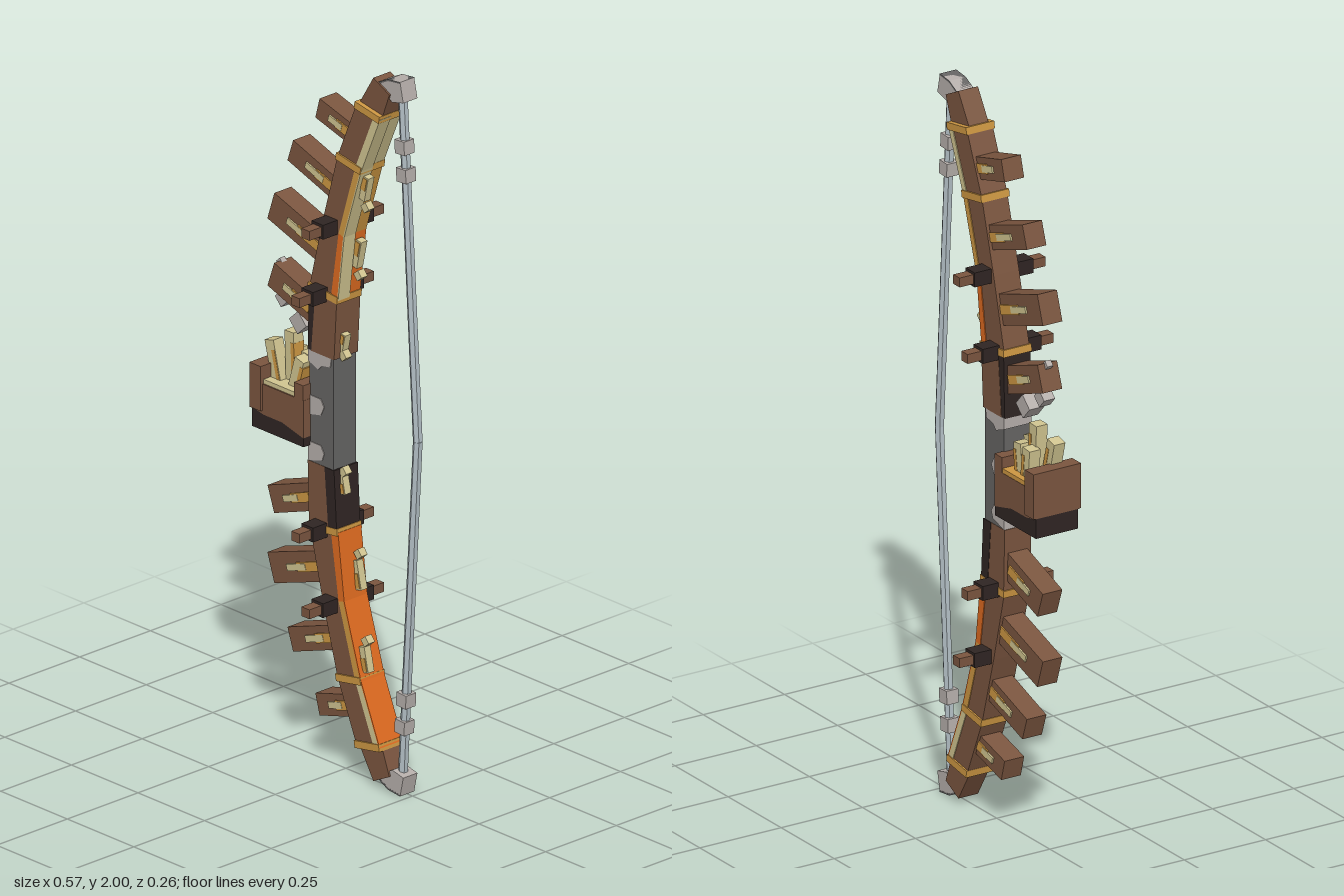
import * as THREE from 'three';

const mat = (name, color, side = THREE.FrontSide) => {
  const m = new THREE.MeshStandardMaterial({ color, side });
  m.name = name;
  return m;
};

export function createModel() {
  const root = new THREE.Group();
  root.name = 'bow';
  const wood = mat('brown wood', 0x7a553f);
  const dark = mat('dark wood', 0x2f2523);
  const gold = mat('gold', 0xcc9642);
  const bone = mat('pale bone', 0xd0c490);
  const orange = mat('orange', 0xdd6a20);
  const iron = mat('dark iron', 0x656463);
  const stone = mat('light stone', 0xb5aeaa);
  const cord = mat('cord', 0xb2bec4);

  const add = (name, geo, m, x = 0, y = 0, z = 0, rz = 0) => {
    const mesh = new THREE.Mesh(geo, m);
    mesh.name = name;
    mesh.position.set(x, y, z);
    mesh.rotation.z = rz;
    root.add(mesh);
    return mesh;
  };
  const box = (name, m, w, h, d, x, y, z = 0, rz = 0) =>
    add(name, new THREE.BoxGeometry(w, h, d), m, x, y, z, rz);
  // Flat outline extruded between two depths
  const slab = (name, m, pts, z0, z1) => {
    const s = new THREE.Shape(pts.map(p => new THREE.Vector2(p[0], p[1])));
    return add(name, new THREE.ExtrudeGeometry(s, { depth: z1 - z0, bevelEnabled: false }), m, 0, 0, z0);
  };
  const mix = (a, b, t) => [a[0] + (b[0] - a[0]) * t, a[1] + (b[1] - a[1]) * t];

  // Outer and inner edge of the upper limb, from tip to grip
  const outer = [[0.135, 1.985], [0.08, 1.895], [0.01, 1.73], [-0.045, 1.535], [-0.095, 1.335], [-0.1, 1.155]];
  const inner = [[0.195, 1.955], [0.167, 1.88], [0.097, 1.715], [0.033, 1.51], [0.01, 1.325], [0, 1.155]];
  // Pegs: tip x, tip y, length, height, tilt
  const pegs = [
    [-0.075, 1.835, 0.16, 0.06, 0.27], [-0.177, 1.685, 0.22, 0.066, 0.33],
    [-0.25, 1.507, 0.23, 0.083, 0.32], [-0.25, 1.315, 0.18, 0.075, 0.34]];

  for (const up of [true, false]) {
    const s = up ? 1 : -1;
    const Y = y => (up ? y : 2 - y);
    const P = p => [p[0], Y(p[1])];
    const tag = up ? 'upper' : 'lower';
    const rowColour = [wood, bone, gold, orange];

    // Limb segments with a coloured inner lining
    for (let i = 0; i < 4; i++) {
      const [a, b, c, d] = [outer[i], outer[i + 1], inner[i + 1], inner[i]];
      const k = i === 0 ? 1 : 0.78;
      const e = mix(b, c, k), f = mix(a, d, k);
      const hz = i === 0 ? 0.03 : 0.039;
      slab(tag + 'Limb', wood, [a, b, e, f].map(P), -hz, hz);
      if (i === 0) continue;
      slab(tag + 'Lining', rowColour[i], [f, e, c, d].map(P), -0.041, 0.041);
      // Thin facing on the string side
      const c2 = [c[0] + 0.004, c[1]], d2 = [d[0] + 0.004, d[1]];
      slab(tag + 'Facing', up ? bone : orange, [d, c, c2, d2].map(P), up ? 0 : -0.041, 0.041);
    }

    // Gold bands
    for (const i of [1, 2, 4]) {
      const a = outer[i], b = inner[i];
      const mid = mix(a, b, 0.5);
      const len = Math.hypot(b[0] - a[0], b[1] - a[1]) + 0.006;
      box(tag + 'Band', gold, len, 0.02, 0.087, mid[0], Y(mid[1]), 0, s * Math.atan2(b[1] - a[1], b[0] - a[0]));
    }

    // Grip blocks with a dark strip
    const [a, b, c, d] = [outer[4], outer[5], inner[5], inner[4]];
    const t = up ? 0.24 : 0.7;
    const e = mix(b, c, up ? 0.14 : 0.64), f = mix(a, d, t);
    slab(tag + 'GripOuter', up ? dark : wood, [a, b, e, f].map(P), -0.041, 0.041);
    slab(tag + 'GripInner', up ? wood : dark, [f, e, c, d].map(P), -0.042, 0.042);

    // Pegs with inlays on both sides
    for (const [x, y, len, h, tilt] of pegs) {
      const r = -s * tilt;
      const at = q => [x + Math.cos(tilt) * q, Y(y - Math.sin(tilt) * q)];
      const m = at(len / 2);
      box(tag + 'Peg', wood, len, h, 0.06, m[0], m[1], 0, r);
      for (const z of [-0.031, 0.031]) {
        const g = at(len * 0.66), p = at(len * 0.45);
        box('pegInlay', gold, len * 0.4, 0.026, 0.005, g[0], g[1], z, r);
        box('pegInlayPale', bone, len * 0.32, 0.018, 0.007, p[0], p[1], z, r);
      }
    }

    // Cross pins through the limb
    for (const [x, y] of [[-0.012, 1.53], [-0.05, 1.33]]) {
      box('crossPin', wood, 0.03, 0.026, 0.264, x, Y(y));
      box('crossPinCollar', dark, 0.044, 0.04, 0.18, x, Y(y));
    }

    // Splinters on the string side
    for (const [x, y, h, z] of [[0.094, 1.66, 0.07, 0.015], [0.035, 1.45, 0.08, -0.015], [0.004, 1.2, 0.05, 0.01]]) {
      box('splinter', bone, 0.02, h, 0.022, x, Y(y), z, -s * 0.22);
      box('splinterRoot', gold, 0.024, h * 0.5, 0.026, x - 0.002, Y(y + h * 0.2), z, -s * 0.22);
      box('chip', bone, 0.022, 0.022, 0.022, x + 0.004, Y(y - h * 0.75), z, 0.7);
    }

    // Tip cap
    slab(tag + 'TipCap', stone, [[0.14, 1.972], [0.185, 1.995], [0.23, 2], [0.242, 1.945], [0.2, 1.935]].map(P), -0.025, 0.025);
    slab(tag + 'TipPlate', iron, [[0.14, 1.972], [0.185, 1.995], [0.23, 2], [0.23, 1.996], [0.185, 1.99], [0.145, 1.969]].map(P), -0.0255, 0.0255);

    // String half and its knots
    const from = new THREE.Vector3(0.214, Y(1.95), 0), to = new THREE.Vector3(0.27, 1, 0);
    const dir = to.clone().sub(from);
    const string = add(tag + 'String', new THREE.CylinderGeometry(0.013, 0.013, dir.length(), 6).toNonIndexed(), cord);
    string.geometry.computeVertexNormals();
    string.position.copy(from).add(to).multiplyScalar(0.5);
    string.quaternion.setFromUnitVectors(new THREE.Vector3(0, 1, 0), dir.normalize());
    for (const [x, y] of [[0.22, 1.812], [0.226, 1.735]]) box('stringKnot', stone, 0.036, 0.038, 0.036, x, Y(y), 0, s * 0.06);
  }

  // Handle with pale worn patches wrapped round its outer side
  box('handle', iron, 0.09, 0.312, 0.08, -0.05, 1);
  const patches = [
    [[-0.098, 1.157], [-0.01, 1.157], [-0.015, 1.13], [-0.045, 1.125], [-0.06, 1.11], [-0.098, 1.125]],
    [[-0.098, 1.03], [-0.05, 1.03], [-0.038, 1.01], [-0.05, 0.985], [-0.098, 0.975]],
    [[-0.098, 0.9], [-0.05, 0.9], [-0.038, 0.88], [-0.045, 0.86], [-0.098, 0.845]]];
  for (const p of patches) slab('wornPatch', stone, p, -0.042, 0.042);

  // Side pot: walls, rim posts and dark base
  slab('potBody', wood, [[-0.285, 0.945], [-0.24, 0.935], [-0.17, 0.935], [-0.09, 0.915], [-0.09, 1.02], [-0.285, 1.02]], -0.066, 0.066);
  slab('potBase', dark, [[-0.284, 0.89], [-0.09, 0.89], [-0.09, 0.915], [-0.17, 0.935], [-0.24, 0.935], [-0.284, 0.945]], -0.065, 0.065);
  box('potOuterWall', wood, 0.042, 0.125, 0.146, -0.264, 1.008);
  box('potInnerWall', wood, 0.035, 0.06, 0.132, -0.108, 1.032);
  box('potFillGold', gold, 0.12, 0.014, 0.066, -0.184, 1.025, -0.032);
  box('potFillPale', bone, 0.12, 0.014, 0.062, -0.184, 1.025, 0.031);

  // Spikes standing in the pot: x, y, z, height, tilt
  for (const [x, y, z, h, r] of [
    [-0.235, 1.075, 0.02, 0.12, 0.25], [-0.193, 1.095, 0, 0.145, 0.04], [-0.148, 1.065, 0.022, 0.1, -0.28],
    [-0.205, 1.06, -0.03, 0.1, 0.1], [-0.165, 1.06, -0.025, 0.1, -0.12]]) {
    box('spike', bone, 0.034, h, 0.034, x, y, z, r);
    box('spikeEdge', gold, 0.012, h * 0.8, 0.036, x + 0.012, y - h * 0.1, z, r);
  }

  // Loose stones above the pot
  for (const [x, y, w] of [[-0.225, 1.25, 0.034], [-0.157, 1.206, 0.046], [-0.24, 1.345, 0.018]])
    box('looseStone', stone, w, w, w, x, y, 0, 0.75);

  return root;
}
